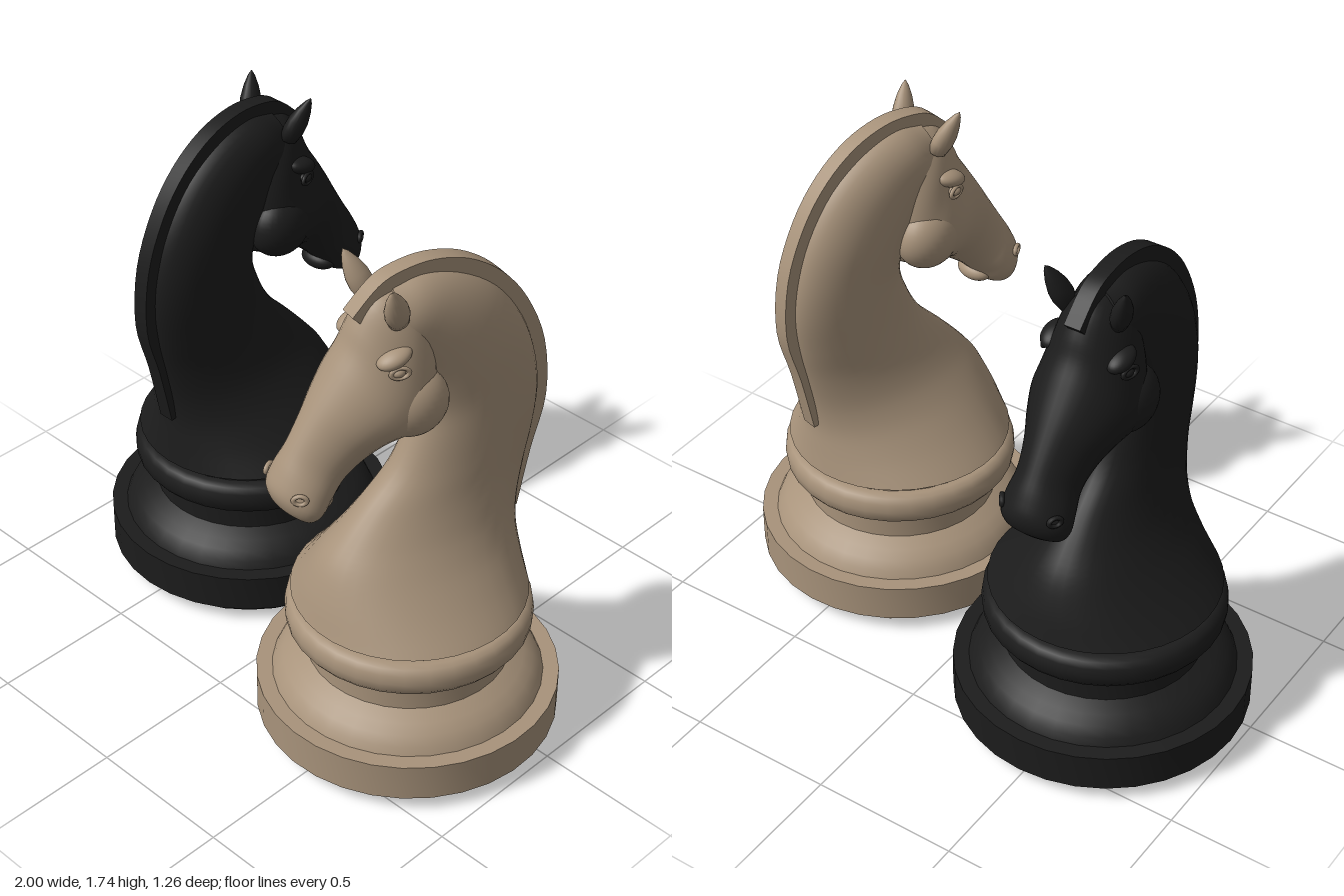
import * as THREE from 'three';
import { toCreasedNormals } from 'three/addons/utils/BufferGeometryUtils.js';

const V = (x, y, z) => new THREE.Vector3(x, y, z);

// Closed loft. Each ring: [frontZ, frontY, backZ, backY, halfWidth].
// skew > 0 makes the section wider towards its back edge.
function loft(rings, steps, skew = 0, sides = 36) {
  const front = new THREE.CatmullRomCurve3(rings.map(r => V(r[4], r[1], r[0])));
  const back = new THREE.CatmullRomCurve3(rings.map(r => V(0, r[3], r[2])));
  const pos = [], index = [];
  for (let i = 0; i <= steps; i++) {
    const f = front.getPoint(i / steps), b = back.getPoint(i / steps);
    for (let j = 0; j < sides; j++) {
      const a = j / sides * Math.PI * 2, c = Math.cos(a), s = Math.sin(a);
      pos.push(f.x * s * (1 - skew * c),
        (f.y + b.y) / 2 + c * (f.y - b.y) / 2,
        (f.z + b.z) / 2 + c * (f.z - b.z) / 2);
      if (i < steps) {
        const k = (j + 1) % sides, p = i * sides, q = p + sides;
        index.push(p + j, p + k, q + k, p + j, q + k, q + j);
      }
    }
  }
  // end caps
  const first = rings[0], last = rings[rings.length - 1], n = pos.length / 3;
  for (const r of [first, last]) pos.push(0, (r[1] + r[3]) / 2, (r[0] + r[2]) / 2);
  for (let j = 0; j < sides; j++) {
    const k = (j + 1) % sides, q = steps * sides;
    index.push(n, k, j, n + 1, q + j, q + k);
  }
  const g = new THREE.BufferGeometry();
  g.setAttribute('position', new THREE.Float32BufferAttribute(pos, 3));
  g.setIndex(index);
  return toCreasedNormals(g, 0.9);
}

// Turned base: foot, rim, shoulder, waist, ring and collar
function baseGeometry() {
  const profile = [
    [0, 0], [0.437, 0], [0.437, 0.05], [0.492, 0.05], [0.492, 0.18], [0.44, 0.18],
    [0.428, 0.205], [0.405, 0.232], [0.375, 0.256], [0.33, 0.28], [0.33, 0.38],
    [0.365, 0.381], [0.382, 0.388], [0.394, 0.405], [0.398, 0.435], [0.394, 0.465],
    [0.382, 0.484], [0.365, 0.492], [0.347, 0.492], [0.347, 0.525], [0, 0.525],
  ].map(p => new THREE.Vector2(...p));
  return toCreasedNormals(new THREE.LatheGeometry(profile, 32), 0.6);
}

// Chest and neck, sweeping up from a round foot and over to the poll
const neckGeometry = () => loft([
  [0.38, 0.52, -0.38, 0.52, 0.378],
  [0.352, 0.62, -0.372, 0.6, 0.295],
  [0.31, 0.72, -0.366, 0.69, 0.218],
  [0.25, 0.8, -0.375, 0.78, 0.168],
  [0.175, 0.885, -0.4, 0.9, 0.135],
  [0.08, 0.99, -0.425, 1.02, 0.123],
  [0.025, 1.1, -0.437, 1.15, 0.121],
  [0.0, 1.19, -0.42, 1.28, 0.122],
  [0.02, 1.28, -0.365, 1.43, 0.125],
  [0.06, 1.35, -0.265, 1.57, 0.122],
  [0.09, 1.4, -0.13, 1.66, 0.116],
  [0.13, 1.44, 0.0, 1.695, 0.108],
  [0.16, 1.45, 0.1, 1.68, 0.09],
], 48);

// Head, from the lips up to the poll
const headGeometry = () => loft([
  [0.455, 0.995, 0.405, 0.967, 0.055],
  [0.484, 1.03, 0.375, 0.965, 0.095],
  [0.495, 1.08, 0.345, 0.985, 0.115],
  [0.472, 1.14, 0.315, 1.025, 0.112],
  [0.435, 1.205, 0.265, 1.075, 0.1],
  [0.388, 1.285, 0.2, 1.125, 0.113],
  [0.34, 1.365, 0.135, 1.165, 0.142],
  [0.29, 1.445, 0.06, 1.18, 0.165],
  [0.25, 1.51, -0.01, 1.205, 0.163],
  [0.222, 1.575, -0.04, 1.28, 0.147],
  [0.17, 1.65, -0.04, 1.4, 0.122],
  [0.08, 1.68, -0.02, 1.55, 0.07],
], 48, 0.15);

// Square-edged mane following the crest and folding into a forelock
function maneGeometry() {
  const curve = new THREE.SplineCurve([
    [-0.38, 0.7], [-0.422, 0.91], [-0.468, 1.1], [-0.45, 1.31], [-0.377, 1.486],
    [-0.28, 1.61], [-0.163, 1.692], [-0.04, 1.728], [0.07, 1.724], [0.15, 1.695], [0.235, 1.615],
  ].map(p => new THREE.Vector2(...p)));
  const outer = [], inner = [];
  for (let i = 0; i <= 40; i++) {
    const p = curve.getPoint(i / 40), t = curve.getTangent(i / 40);
    outer.push(p);
    inner.unshift(new THREE.Vector2(p.x + t.y * 0.06, p.y - t.x * 0.06));
  }
  const g = new THREE.ExtrudeGeometry(new THREE.Shape([...outer, ...inner]),
    { depth: 0.056, bevelEnabled: false });
  g.translate(0, 0, -0.028).rotateY(-Math.PI / 2);
  return toCreasedNormals(g, 0.6);
}

function earGeometry() {
  const profile = [[0, 0], [0.036, 0], [0.044, 0.04], [0.042, 0.075], [0.03, 0.115], [0.014, 0.148], [0, 0.165]]
    .map(p => new THREE.Vector2(...p));
  return new THREE.LatheGeometry(profile, 20).scale(0.72, 1, 0.9);
}

function createKnight(name, material) {
  const knight = new THREE.Group();
  knight.name = name;
  const add = (partName, geometry, position = V(0, 0, 0), scale = V(1, 1, 1)) => {
    const mesh = new THREE.Mesh(geometry, material);
    mesh.name = partName;
    mesh.position.copy(position);
    mesh.scale.copy(scale);
    knight.add(mesh);
    return mesh;
  };
  const ball = new THREE.SphereGeometry(1, 28, 20);

  add('base', baseGeometry());
  add('neck', neckGeometry());
  add('head', headGeometry());
  add('mane', maneGeometry());
  add('lowerLip', ball, V(0, 1.01, 0.345), V(0.07, 0.036, 0.05));

  // Paired features
  const ear = earGeometry();
  const lid = new THREE.TorusGeometry(0.024, 0.007, 8, 20).scale(1.15, 0.75, 1);
  const nostril = new THREE.TorusGeometry(0.02, 0.008, 8, 20).scale(1, 0.75, 1);
  for (const [side, s] of [['left', 1], ['right', -1]]) {
    add(side + 'Cheek', ball, V(s * 0.095, 1.305, 0.065), V(0.088, 0.11, 0.115));
    add(side + 'Brow', ball, V(s * 0.112, 1.5, 0.145), V(0.042, 0.028, 0.058)).rotation.x = 0.3;
    add(side + 'Eye', ball, V(s * 0.134, 1.463, 0.145), V(0.022, 0.017, 0.024));
    add(side + 'Eyelid', lid, V(s * 0.147, 1.464, 0.145)).rotation.y = s * 1.3;
    add(side + 'Nostril', nostril, V(s * 0.094, 1.085, 0.45)).rotation.y = s * 1.0;
    add(side + 'Ear', ear, V(s * 0.088, 1.597, 0.115))
      .quaternion.setFromUnitVectors(V(0, 1, 0), V(s * 0.05, 0.15, 0.058).normalize());
  }
  return knight;
}

export function createModel() {
  const model = new THREE.Group();
  model.name = 'chessKnights';
  const black = new THREE.MeshStandardMaterial({ color: 0x1c1c1c });
  black.name = 'black';
  const tan = new THREE.MeshStandardMaterial({ color: 0xa8937b });
  tan.name = 'tan';

  // Dark piece faces away, light piece faces forward and slightly inward
  const dark = createKnight('blackKnight', black);
  dark.position.set(-0.508, 0, -0.135);
  dark.rotation.y = Math.PI;
  const light = createKnight('tanKnight', tan);
  light.position.set(0.507, 0, 0.136);
  light.rotation.y = -0.26;
  model.add(dark, light);
  return model;
}
